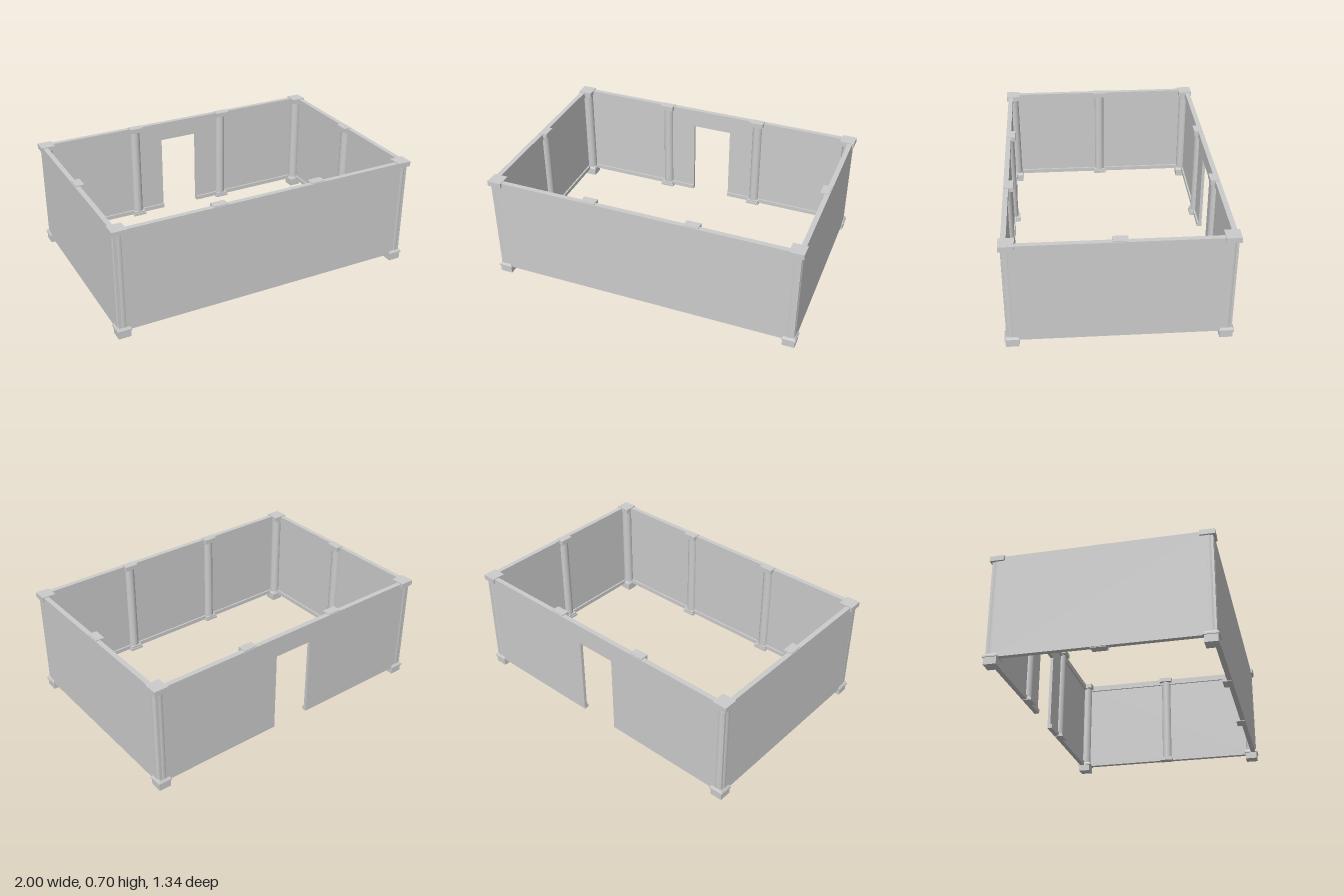
import * as THREE from 'three';

const material = new THREE.MeshStandardMaterial({ color: 0xcccccc });
const FLOOR = 0.045, TOP = 0.7, THICK = 0.031, PANEL = 0.02, RAIL = 0.04;

function add(parent, geometry, name, x = 0, y = 0, z = 0) {
  const mesh = new THREE.Mesh(geometry, material);
  mesh.name = name;
  mesh.position.set(x, y, z);
  parent.add(mesh);
  return mesh;
}

// Box given by its limits on each axis
function block(parent, name, x0, x1, y0, y1, z0, z1) {
  return add(parent, new THREE.BoxGeometry(x1 - x0, y1 - y0, z1 - z0), name,
    (x0 + x1) / 2, (y0 + y1) / 2, (z0 + z1) / 2);
}

// Wall with its outside facing +z at distance d, rails and half columns inside
function wall(name, d, half, columns, door) {
  const group = new THREE.Group();
  group.name = name;

  const outline = [[-half, FLOOR]];
  if (door) {
    outline.push([-door.half, FLOOR], [-door.half, door.top], [door.half, door.top], [door.half, FLOOR]);
  }
  outline.push([half, FLOOR], [half, TOP], [-half, TOP]);
  const shape = new THREE.Shape(outline.map(([x, y]) => new THREE.Vector2(x, y)));
  add(group, new THREE.ExtrudeGeometry(shape, { depth: PANEL, bevelEnabled: false }), 'panel', 0, 0, d - PANEL);

  // Rails, the lower one interrupted by the doorway
  const inner = d - THICK, back = d - PANEL;
  block(group, 'topRail', -half, half, TOP - RAIL, TOP, inner, back);
  const spans = door ? [[-half, -door.half], [door.half, half]] : [[-half, half]];
  for (const [a, b] of spans) block(group, 'bottomRail', a, b, FLOOR, FLOOR + RAIL * 0.7, inner, back);

  // Half columns with a capital and a base
  for (const x of columns) {
    const shaft = new THREE.CylinderGeometry(0.033, 0.033, TOP - FLOOR - 0.04, 16, 1, true, Math.PI / 2, Math.PI);
    add(group, shaft, 'halfColumn', x, (TOP + FLOOR) / 2, d - 0.015);
    block(group, 'columnCapital', x - 0.045, x + 0.045, 0.675, 0.705, d - 0.059, d - 0.005);
    block(group, 'columnBase', x - 0.045, x + 0.045, 0.041, 0.056, d - 0.059, d - 0.005);
    block(group, 'columnBaseStep', x - 0.039, x + 0.039, 0.056, 0.068, d - 0.053, d - 0.005);
  }
  return group;
}

// Round corner post with square capital, stepped base and foot
function cornerPost(x, z) {
  const group = new THREE.Group();
  group.name = 'cornerPost';
  group.position.set(x, 0, z);
  add(group, new THREE.CylinderGeometry(0.035, 0.035, 0.64, 24), 'shaft', 0, 0.37, 0);
  block(group, 'capital', -0.045, 0.045, 0.673, 0.705, -0.045, 0.045);
  block(group, 'basePlate', -0.045, 0.045, 0.045, 0.054, -0.045, 0.045);
  const taper = new THREE.CylinderGeometry(0.036 * Math.SQRT2, 0.043 * Math.SQRT2, 0.013, 4).toNonIndexed();
  taper.rotateY(Math.PI / 4);
  taper.computeVertexNormals();
  add(group, taper, 'baseTaper', 0, 0.0605, 0);
  block(group, 'foot', -0.039, 0.039, 0, 0.046, -0.039, 0.039);
  return group;
}

export function createModel() {
  const model = new THREE.Group();
  model.name = 'walledEnclosure';

  const frontWall = wall('frontWall', 0.658, 0.985, [-0.328, 0.328]);
  const backWall = wall('backWall', 0.658, 0.985, [-0.328, 0.328], { half: 0.131, top: 0.57 });
  backWall.rotation.y = Math.PI;
  const leftWall = wall('leftWall', 0.989, 0.628, [0]);
  leftWall.rotation.y = Math.PI / 2;
  const rightWall = wall('rightWall', 0.989, 0.628, [0]);
  rightWall.rotation.y = -Math.PI / 2;
  model.add(frontWall, backWall, leftWall, rightWall);

  for (const sx of [-1, 1]) {
    for (const sz of [-1, 1]) model.add(cornerPost(sx * 0.955, sz * 0.626));
  }
  return model;
}
